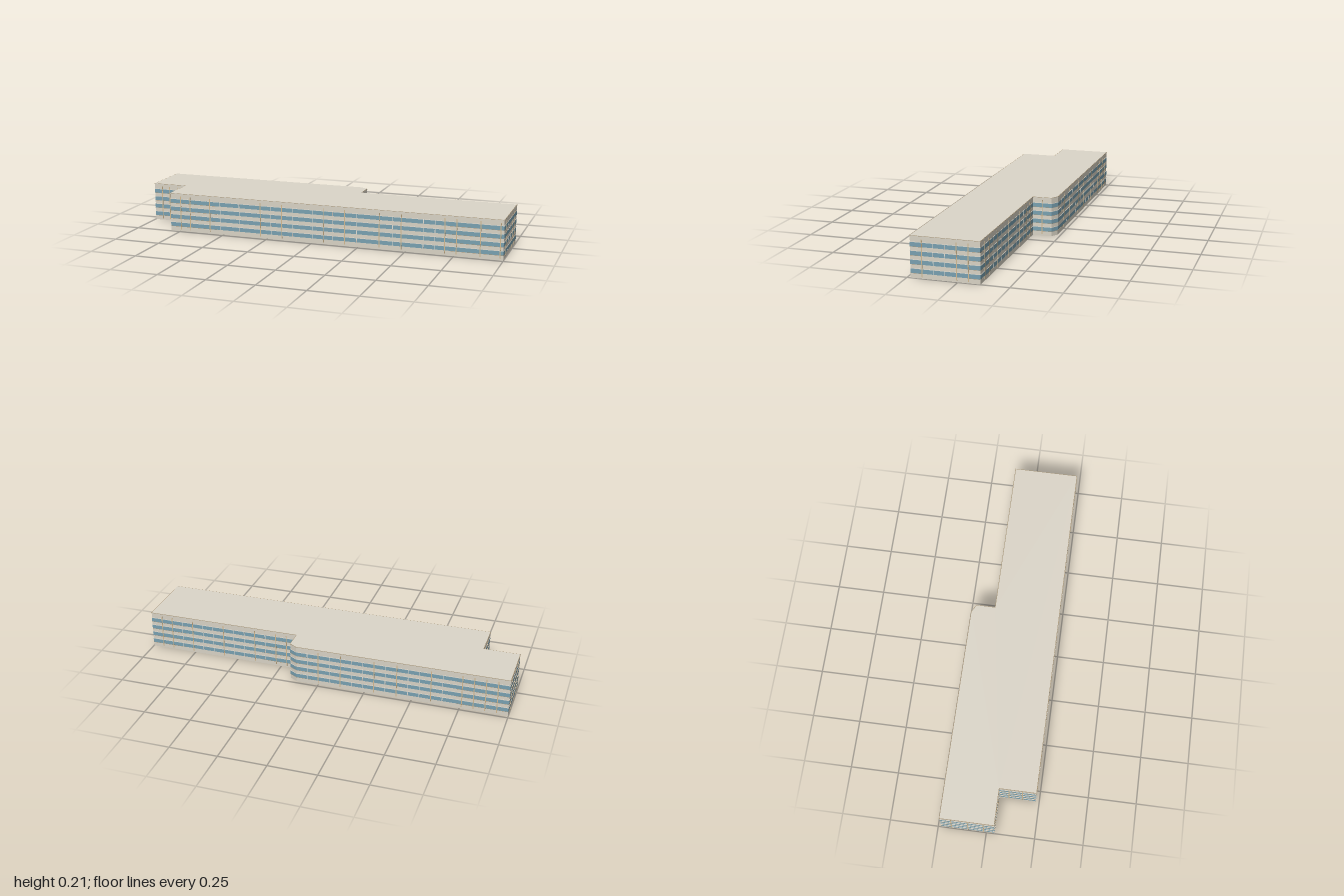
import * as THREE from 'three';

const mat = (name, color) => {
  const m = new THREE.MeshStandardMaterial({ color });
  m.name = name;
  return m;
};

// Footprint corners as [x, z], walked so that each wall's local +z points outwards
const FOOTPRINT = [
  [-0.998, 0.042], [-0.808, 0.042], [-0.808, 0.232], [0.998, 0.232], [0.998, -0.11],
  [0.16, -0.11], [0.16, -0.21], [0.12, -0.233], [-0.998, -0.233],
];
// Full-height mullions, short window dividers and sill spans, as distances along each wall
const FACADES = [
  { mullions: [0.045, 0.09, 0.14], dividers: [], sills: [[0, 0.19]] },
  { mullions: [0.05, 0.12], dividers: [], sills: [[0, 0.19]] },
  {
    mullions: [0.06, 0.115, 0.23, 0.52, 0.64, 0.87, 0.985, 1.17, 1.285, 1.51, 1.57, 1.69, 1.79],
    dividers: [0.29, 0.4, 0.58, 0.7, 0.81, 0.92, 1.05, 1.24, 1.4, 1.46],
    sills: [[0, 0.27], [1.53, 1.806]],
  },
  { mullions: [0.057, 0.227, 0.284], dividers: [0.113, 0.17], sills: [[0, 0.055], [0.284, 0.342]] },
  {
    mullions: [0.06, 0.12, 0.24, 0.42, 0.6, 0.72, 0.78],
    dividers: [0.18, 0.3, 0.36, 0.48, 0.54, 0.66],
    sills: [[0, 0.2], [0.64, 0.838]],
  },
  { mullions: [0.05], dividers: [], sills: [[0, 0.1]] },
  { mullions: [], dividers: [], sills: [[0, 0.046]] },
  {
    mullions: [0.12, 0.24, 0.42, 0.54, 0.72, 0.88, 0.94, 1.0, 1.06],
    dividers: [0.06, 0.18, 0.3, 0.36, 0.48, 0.6, 0.66, 0.78],
    sills: [[0, 0.1], [0.85, 1.118]],
  },
  { mullions: [0.055, 0.14, 0.22], dividers: [], sills: [[0, 0.055], [0.22, 0.275]] },
];
const BAND_Y = [0.035, 0.078, 0.1205, 0.163];
const BAND_H = 0.021;

export function createModel() {
  const wall = mat('wall', 0xd8d2c4);
  const roof = mat('roof', 0xdcd6c9);
  const trim = mat('roofTrim', 0xa8977a);
  const glass = mat('glass', 0x78a0b0);
  const tan = mat('mullionTan', 0xd0b890);
  const light = mat('frameLight', 0xe2ded4);

  const model = new THREE.Group();
  model.name = 'officeBuilding';

  // Horizontal slab following the footprint, grown outwards (or inwards if negative)
  const slab = (name, y, height, grow, material) => {
    const n = FOOTPRINT.length;
    const pts = FOOTPRINT.map(([x, z], i) => {
      const [px, pz] = FOOTPRINT[(i + n - 1) % n];
      const [qx, qz] = FOOTPRINT[(i + 1) % n];
      const a = new THREE.Vector2(-(z - pz), x - px).normalize();
      const b = new THREE.Vector2(-(qz - z), qx - x).normalize();
      const m = a.clone().add(b).multiplyScalar(grow / (1 + a.dot(b)));
      return new THREE.Vector2(x + m.x, -(z + m.y));
    });
    const geo = new THREE.ExtrudeGeometry(new THREE.Shape(pts), { depth: height, bevelEnabled: false });
    geo.rotateX(-Math.PI / 2);
    const mesh = new THREE.Mesh(geo, material);
    mesh.name = name;
    mesh.position.y = y;
    model.add(mesh);
  };
  slab('buildingBody', 0, 0.2, 0, wall);
  slab('roofEdge', 0.2, 0.004, 0.002, wall);
  slab('roofCoping', 0.204, 0.001, 0.002, trim);
  slab('roofSlab', 0.205, 0.0007, -0.001, roof);

  // Facade details, one group per wall
  FOOTPRINT.forEach(([x, z], i) => {
    const [nx, nz] = FOOTPRINT[(i + 1) % FOOTPRINT.length];
    const length = Math.hypot(nx - x, nz - z);
    const { mullions, dividers, sills } = FACADES[i];
    const facade = new THREE.Group();
    facade.name = `facade${i + 1}`;
    facade.position.set(x, 0, z);
    facade.rotation.y = Math.atan2(-(nz - z), nx - x);
    model.add(facade);

    const plate = (name, cx, cy, w, h, depth, material) => {
      const mesh = new THREE.Mesh(new THREE.BoxGeometry(w, h, depth), material);
      mesh.name = name;
      mesh.position.set(cx, cy, 0);
      facade.add(mesh);
    };

    for (const y of BAND_Y) {
      plate('windowBand', length / 2, y, length, BAND_H, 0.002, glass);
      plate('windowHead', length / 2, y + BAND_H / 2 + 0.001, length, 0.002, 0.003, light);
      for (const [from, to] of sills) {
        plate('windowSill', (from + to) / 2, y - BAND_H / 2 - 0.0007, to - from, 0.0014, 0.003, trim);
      }
      for (const d of dividers) plate('windowDivider', d, y, 0.003, BAND_H, 0.0034, light);
    }
    for (const d of mullions) plate('mullion', d, 0.099, 0.0045, 0.182, 0.004, tan);
  });

  return model;
}
